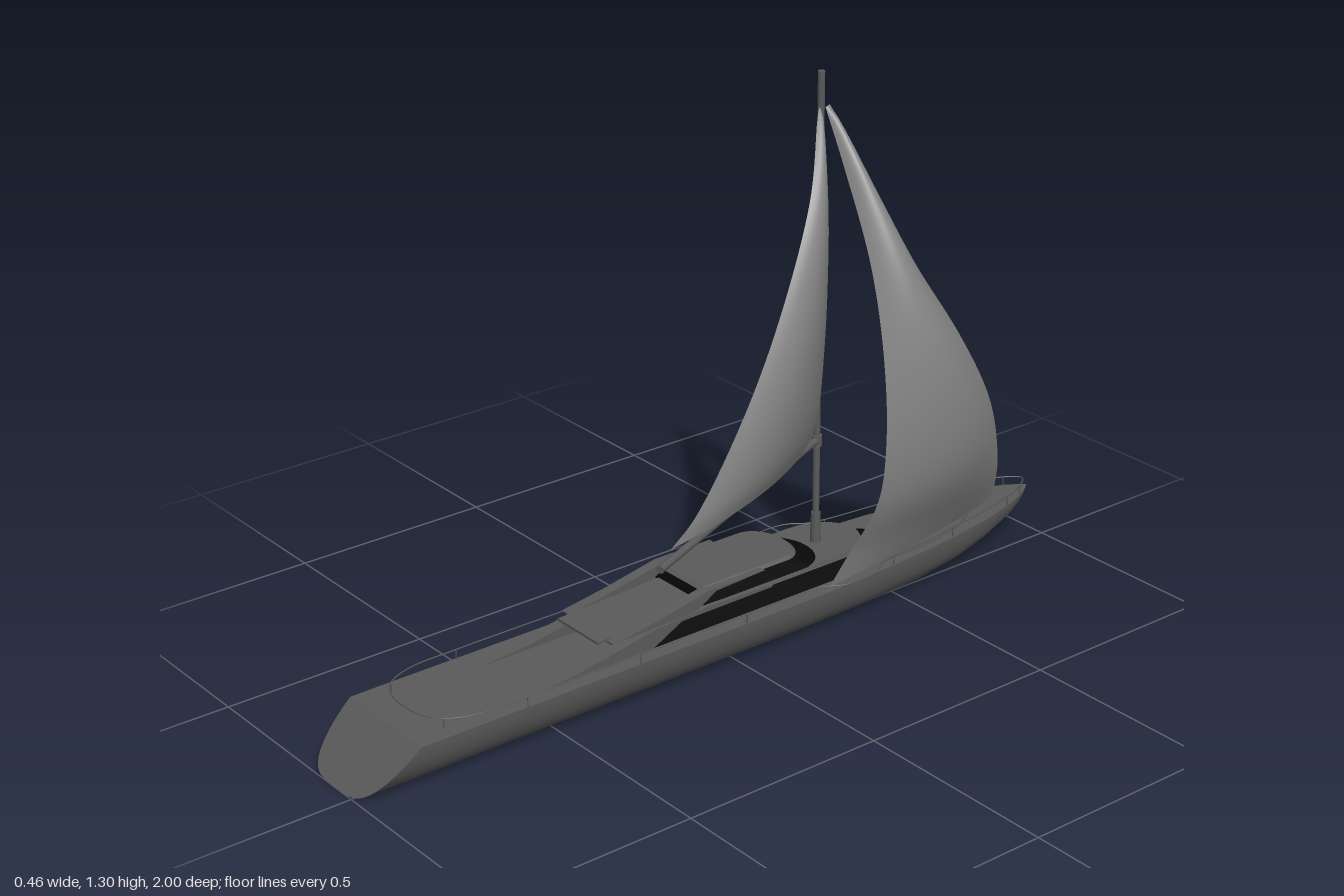
import * as THREE from 'three';
import { toCreasedNormals } from 'three/addons/utils/BufferGeometryUtils.js';

const CX = -0.062; // centreline of the hull
const DECK = 0.11;
const RAIL = 0.133;
const V = (x, y, z) => new THREE.Vector3(x, y, z);
const paint = (color, side = THREE.FrontSide) =>
  new THREE.MeshStandardMaterial({ color, side });

// Skin closed rings, each counter-clockwise seen from the end of the loft
function loft(rings) {
  const pos = [];
  const tri = (...pts) => pts.forEach(p => pos.push(p.x, p.y, p.z));
  const n = rings[0].length;
  for (let r = 0; r < rings.length - 1; r++) {
    const a = rings[r], b = rings[r + 1];
    for (let i = 0; i < n; i++) {
      const j = (i + 1) % n;
      tri(a[i], a[j], b[j]);
      tri(a[i], b[j], b[i]);
    }
  }
  const cap = (ring, flip) => {
    const c = ring.reduce((s, p) => s.add(p), V(0, 0, 0)).divideScalar(n);
    for (let i = 0; i < n; i++) {
      const p = ring[i], q = ring[(i + 1) % n];
      flip ? tri(c, q, p) : tri(c, p, q);
    }
  };
  cap(rings[0], true);
  cap(rings[rings.length - 1], false);
  const g = new THREE.BufferGeometry();
  g.setAttribute('position', new THREE.Float32BufferAttribute(pos, 3));
  return toCreasedNormals(g, 0.6);
}

// Horizontal outline with a rounded nose and a square aft end
function outline(half, front, nose, aft, y) {
  const pts = [V(half, y, aft)];
  for (let i = 0; i <= 24; i++) {
    const t = i / 24 * Math.PI;
    pts.push(V(half * Math.cos(t), y, front + nose * (1 - Math.sin(t))));
  }
  pts.push(V(-half, y, aft));
  return pts;
}

// Triangular sail between a luff and a leech, bellied by sag
function sail(luffPts, leechPts, sag) {
  const luff = new THREE.CatmullRomCurve3(luffPts.map(p => V(...p)));
  const leech = new THREE.CatmullRomCurve3(leechPts.map(p => V(...p)));
  const g = new THREE.PlaneGeometry(1, 1, 20, 40);
  const p = g.attributes.position;
  for (let i = 0; i < p.count; i++) {
    const u = p.getX(i) + 0.5, v = p.getY(i) + 0.5;
    const q = luff.getPointAt(v).lerp(leech.getPointAt(v), u);
    const k = 4 * u * (1 - u);
    q.x += sag.x * k * Math.sqrt(Math.max(0, 1 - v));
    q.y += sag.y * k * (1 - v) ** 4;
    p.setXYZ(i, q.x, q.y, q.z);
  }
  g.computeVertexNormals();
  return g;
}

// Round bar between two points
function bar(a, b, r0, r1 = r0, sides = 16) {
  const d = b.clone().sub(a);
  const g = new THREE.CylinderGeometry(r1, r0, d.length(), sides);
  g.applyQuaternion(new THREE.Quaternion().setFromUnitVectors(V(0, 1, 0), d.normalize()));
  const m = a.clone().add(b).multiplyScalar(0.5);
  return g.translate(m.x, m.y, m.z);
}

export function createModel() {
  const model = new THREE.Group();
  const grey = paint(0x5a5a5a), glass = paint(0x080808);
  const cloth = paint(0x858585, THREE.DoubleSide);
  const boat = new THREE.Group();
  boat.name = 'boat';
  boat.position.x = CX;
  model.add(boat);
  const add = (name, geo, mat, parent = boat) => {
    const m = new THREE.Mesh(geo, mat);
    m.name = name;
    parent.add(m);
    return m;
  };

  // Hull: stations of z, half width, keel height; the transom is raked
  const stations = [
    [-1, 0.001, 0.104], [-0.98, 0.016, 0.094], [-0.95, 0.034, 0.08], [-0.9, 0.054, 0.06],
    [-0.8, 0.082, 0.034], [-0.7, 0.1, 0.015], [-0.57, 0.117, 0.004], [-0.4, 0.13, 0],
    [-0.2, 0.138, 0], [0.1, 0.138, 0], [0.5, 0.138, 0], [0.8, 0.138, 0], [0.87, 0.137, 0],
  ];
  add('hull', loft(stations.map(([z, w, keel], s) => {
    const ring = [];
    for (let i = 0; i <= 28; i++) {
      const t = i / 28 * Math.PI, c = Math.cos(t);
      const drop = Math.max(0, Math.sin(t)) ** 1.15;
      const rake = s === stations.length - 1 ? 0.13 * drop : 0;
      ring.push(V(-w * Math.sign(c) * Math.abs(c) ** 0.5, DECK - (DECK - keel) * drop, z + rake));
    }
    return ring;
  })), grey);

  // Deckhouse tiers: [name, material, bottom outline, top outline]
  const tiers = [
    ['foredeckTrunk', grey, [0.1, -0.79, 0.28, 0.3, 0.105], [0.098, -0.785, 0.28, 0.3, 0.116]],
    ['lowerWindows', glass, [0.1, -0.55, 0.16, 0.24, 0.112], [0.088, -0.42, 0.11, 0.2, 0.155]],
    ['lowerRoof', grey, [0.093, -0.435, 0.12, 0.2, 0.154], [0.09, -0.43, 0.12, 0.2, 0.166]],
    ['upperWindows', glass, [0.092, -0.285, 0.08, 0.09, 0.165], [0.082, -0.21, 0.06, 0.08, 0.2]],
    ['upperRoof', grey, [0.086, -0.22, 0.06, 0.09, 0.198], [0.08, -0.21, 0.06, 0.08, 0.206]],
  ];
  for (const [name, mat, lo, hi] of tiers) add(name, loft([outline(...lo), outline(...hi)]), mat);

  // Awning over the cockpit, rising gently forward
  const awning = add('cockpitAwning', new THREE.BoxGeometry(0.146, 0.006, 0.3), grey);
  awning.position.set(0, 0.162, 0.22);
  awning.rotation.x = 0.04;

  // Side coamings sweeping down to the aft deck, mirrored
  function wing(name, pts, inner, outer) {
    const shape = new THREE.Shape(pts.map(([z, y]) => new THREE.Vector2(-z, y)));
    const g = new THREE.ExtrudeGeometry(shape, { depth: outer - inner, bevelEnabled: false });
    g.rotateY(Math.PI / 2);
    for (const x of [inner, -outer]) add(name, g, grey).position.x = x;
  }
  wing('lowerCoaming', [[0.6, 0.108], [0.45, 0.12], [0.33, 0.14], [0.23, 0.158], [0.08, 0.166],
    [-0.1, 0.162], [-0.1, 0.156], [0.16, 0.154], [0.25, 0.108]], 0.072, 0.103);
  wing('upperCoaming', [[0.34, 0.158], [0.22, 0.176], [0.08, 0.203], [-0.08, 0.203],
    [0.06, 0.196], [0.12, 0.162]], 0.073, 0.1);

  // Guard rail around the deck with a boarding bulge on each side, and posts
  const half = [[0.03, -0.95], [0.058, -0.88], [0.1, -0.66], [0.124, -0.45], [0.137, -0.4],
    [0.163, -0.36], [0.166, -0.27], [0.14, -0.21], [0.135, 0], [0.135, 0.3], [0.135, 0.6],
    [0.13, 0.72], [0.1, 0.79], [0.05, 0.82]];
  const port = half.map(([x, z]) => V(x, RAIL, z));
  const starboard = half.map(([x, z]) => V(-x, RAIL, z)).reverse();
  const rail = new THREE.CatmullRomCurve3(
    [V(0, RAIL, -0.985), ...port, V(0, RAIL, 0.825), ...starboard], true);
  add('guardRail', new THREE.TubeGeometry(rail, 240, 0.0016, 6, true), grey);
  for (const i of [0, 1, 2, 3, 8, 9, 10, 12]) {
    for (const s of [-1, 1]) {
      const [x, z] = half[i];
      add('railPost', bar(V(s * x, 0.105, z), V(s * x, RAIL, z), 0.0016, 0.0016, 6), grey);
    }
  }

  // Mast, its foot, and the boom swung out to the left
  const rig = new THREE.Group();
  rig.name = 'rig';
  model.add(rig);
  add('mast', bar(V(CX, 0.16, -0.315), V(CX, 1.3, -0.315), 0.008), grey, rig);
  add('mastFoot', bar(V(CX, 0.16, -0.315), V(CX, 0.24, -0.315), 0.013, 0.011), grey, rig);
  add('boomCollar', bar(V(CX, 0.408, -0.315), V(CX, 0.436, -0.315), 0.012), grey, rig);
  add('boom', bar(V(CX, 0.423, -0.315), V(0.217, 0.411, 0.355), 0.009), grey, rig);

  // Sails
  add('mainSail', sail(
    [[-0.058, 0.44, -0.3], [-0.015, 0.55, -0.283], [0, 0.75, -0.283], [-0.008, 0.95, -0.285],
      [-0.03, 1.1, -0.29], [-0.06, 1.215, -0.315]],
    [[0.195, 0.435, 0.31], [0.2, 0.49, 0.25], [0.19, 0.66, 0.12], [0.145, 0.84, -0.02],
      [0.05, 1.06, -0.19], [-0.045, 1.2, -0.29], [-0.06, 1.22, -0.308]],
    { x: 0.078, y: 0.03 }), cloth, rig);
  add('headSail', sail(
    [[-0.06, 0.115, -0.885], [0.022, 0.26, -0.815], [0.108, 0.48, -0.695], [0.138, 0.68, -0.565],
      [0.105, 0.88, -0.445], [0.03, 1.06, -0.38], [-0.045, 1.19, -0.35], [-0.06, 1.22, -0.338]],
    [[0.07, 0.12, -0.245], [0.1, 0.2, -0.27], [0.167, 0.35, -0.3], [0.185, 0.5, -0.305],
      [0.165, 0.7, -0.31], [0.11, 0.9, -0.315], [0.01, 1.1, -0.32], [-0.06, 1.215, -0.326]],
    { x: 0.095, y: 0.065 }), cloth, rig);

  return model;
}
